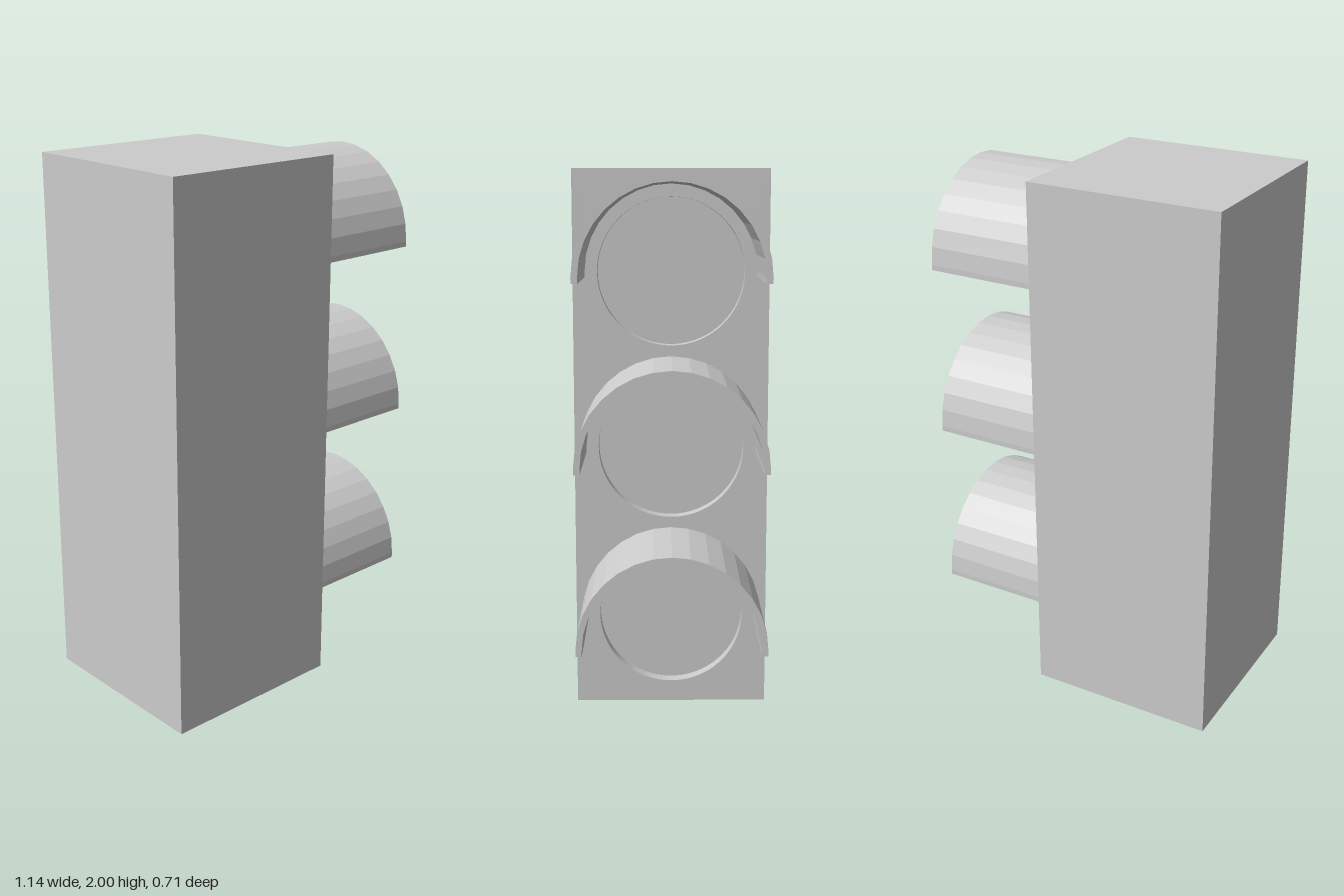
import * as THREE from 'three';

const HALF = 0.357;              // half width of the square housing
const BACK = -0.57, FACE = 0.143, TIP = 0.57;
const RECESS = 0.05;             // depth of the lens recesses
const LENS_Y = [0.347, 0.99, 1.633];

const material = new THREE.MeshStandardMaterial({ color: 0xcccccc, flatShading: true });

// Extrude a (z, y) outline along +x between two x positions
function extrudeX(shape, x0, x1, curveSegments = 12) {
  const geometry = new THREE.ExtrudeGeometry(shape, { depth: x1 - x0, bevelEnabled: false, curveSegments });
  return geometry.rotateY(Math.PI / 2).translate(x0, 0, 0);
}

function addMesh(parent, name, geometry) {
  const mesh = new THREE.Mesh(geometry, material);
  mesh.name = name;
  parent.add(mesh);
  return mesh;
}

// Half-ring visor outline with short straight legs
function visorShape(outer, inner, leg, steps = 16) {
  const arc = (r) => Array.from({ length: steps + 1 }, (_, i) => {
    const a = (i / steps) * Math.PI;
    return new THREE.Vector2(Math.cos(a) * r, Math.sin(a) * r);
  });
  return new THREE.Shape([
    new THREE.Vector2(outer, -leg), ...arc(outer), new THREE.Vector2(-outer, -leg),
    new THREE.Vector2(-inner, -leg), ...arc(inner).reverse(), new THREE.Vector2(inner, -leg),
  ]);
}

export function createModel() {
  const model = new THREE.Group();
  model.name = 'trafficSignal';

  // Housing: its front surface forms the floors of the recesses
  const depth = FACE - RECESS - BACK;
  addMesh(model, 'housing', new THREE.BoxGeometry(depth, 2, HALF * 2).translate(BACK + depth / 2, 1, 0));

  // Face plate with three round lens openings
  const plate = new THREE.Shape([
    new THREE.Vector2(-HALF, 0), new THREE.Vector2(HALF, 0),
    new THREE.Vector2(HALF, 2), new THREE.Vector2(-HALF, 2),
  ]);
  for (const y of LENS_Y) {
    plate.holes.push(new THREE.Path().absarc(0, y, 0.268, 0, Math.PI * 2, true));
  }
  addMesh(model, 'facePlate', extrudeX(plate, FACE - RECESS, FACE, 48));

  // A visor over each lens
  const visor = extrudeX(visorShape(0.335, 0.313, 0.02), FACE, TIP);
  LENS_Y.forEach((y, i) => {
    addMesh(model, `visor${i + 1}`, visor).position.y = y;
  });

  return model;
}
